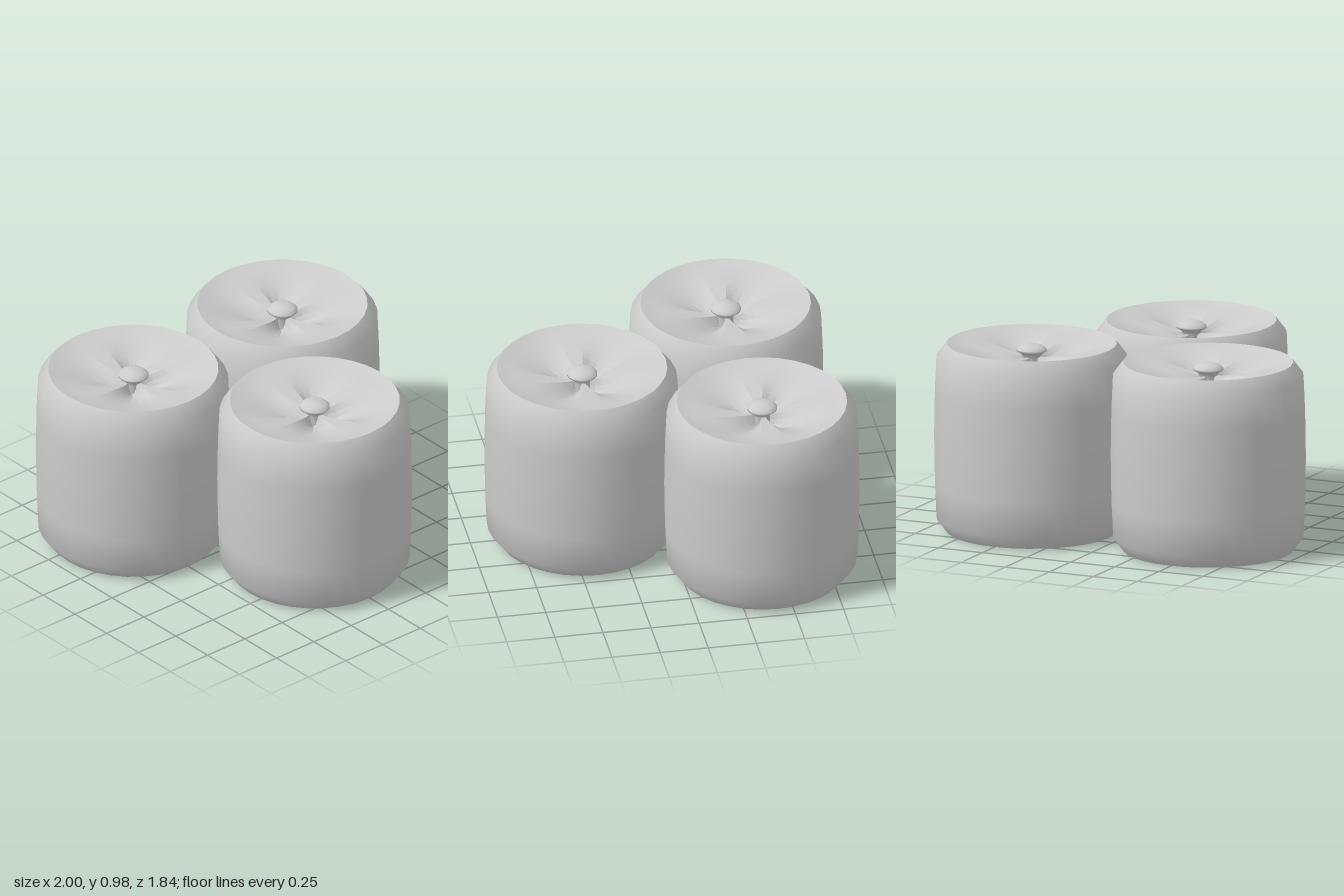
import * as THREE from 'three';
import { toCreasedNormals } from 'three/addons/utils/BufferGeometryUtils.js';

const SIDES = 32, HEIGHT = 0.98;
const material = new THREE.MeshStandardMaterial({ color: 0xcccccc });

function lathe(points) {
  return new THREE.LatheGeometry(points.map(([x, y]) => new THREE.Vector2(x, y)), SIDES);
}

// Dished end: four flat spokes with hollows sinking between them
function dishGeometry() {
  const geo = new THREE.RingGeometry(0.03, 0.435, SIDES, 10).rotateX(-Math.PI / 2);
  const p = geo.attributes.position;
  const quarter = Math.PI / 2, spokeHalf = Math.PI / 16;
  for (let i = 0; i < p.count; i++) {
    const r = Math.hypot(p.getX(i), p.getZ(i));
    const angle = Math.atan2(p.getZ(i), p.getX(i));
    const off = Math.abs(angle - Math.round(angle / quarter) * quarter);
    const u = Math.max(0, (off - spokeHalf) / (quarter / 2 - spokeHalf));
    const t = THREE.MathUtils.clamp((0.41 - r) / 0.33, 0, 1);
    const rim = 0.01 * Math.min(1, (0.435 - r) / 0.04);
    p.setY(i, HEIGHT - rim - 0.06 * t - 0.06 * t * Math.sin(u * Math.PI / 2));
  }
  return toCreasedNormals(geo, 0.3);
}

function createPod(geos) {
  const pod = new THREE.Group();
  const add = (name, geo, parent) => {
    const mesh = new THREE.Mesh(geo, material);
    mesh.name = name;
    parent.add(mesh);
  };
  add('barrelWall', geos.wall, pod);
  // The same end closes the top and, turned over, the bottom
  for (const name of ['topEnd', 'bottomEnd']) {
    const end = new THREE.Group();
    end.name = name;
    add('spokedDish', geos.dish, end);
    add('hubKnob', geos.knob, end);
    if (name === 'bottomEnd') {
      end.rotation.x = Math.PI;
      end.position.y = HEIGHT;
    }
    pod.add(end);
  }
  return pod;
}

export function createModel() {
  const model = new THREE.Group();
  model.name = 'barrelCluster';
  const geos = {
    // Slightly bulging wall with chamfered shoulders
    wall: toCreasedNormals(lathe([
      [0.435, 0], [0.487, 0.068], [0.495, 0.25], [0.499, 0.49],
      [0.495, 0.73], [0.487, 0.912], [0.435, HEIGHT],
    ]), 0.9),
    dish: dishGeometry(),
    // Domed cap on a narrow neck
    knob: lathe([
      [0.045, 0.84], [0.04, 0.9], [0.055, 0.925], [0.077, 0.938],
      [0.077, 0.948], [0.06, 0.963], [0.03, 0.973], [0, 0.976],
    ]),
  };
  const places = { leftBarrel: [0.5, -0.42], rightBarrel: [-0.5, -0.42], frontBarrel: [0, 0.42] };
  for (const [name, [x, z]] of Object.entries(places)) {
    const pod = createPod(geos);
    pod.name = name;
    pod.position.set(x, 0, z);
    model.add(pod);
  }
  return model;
}
